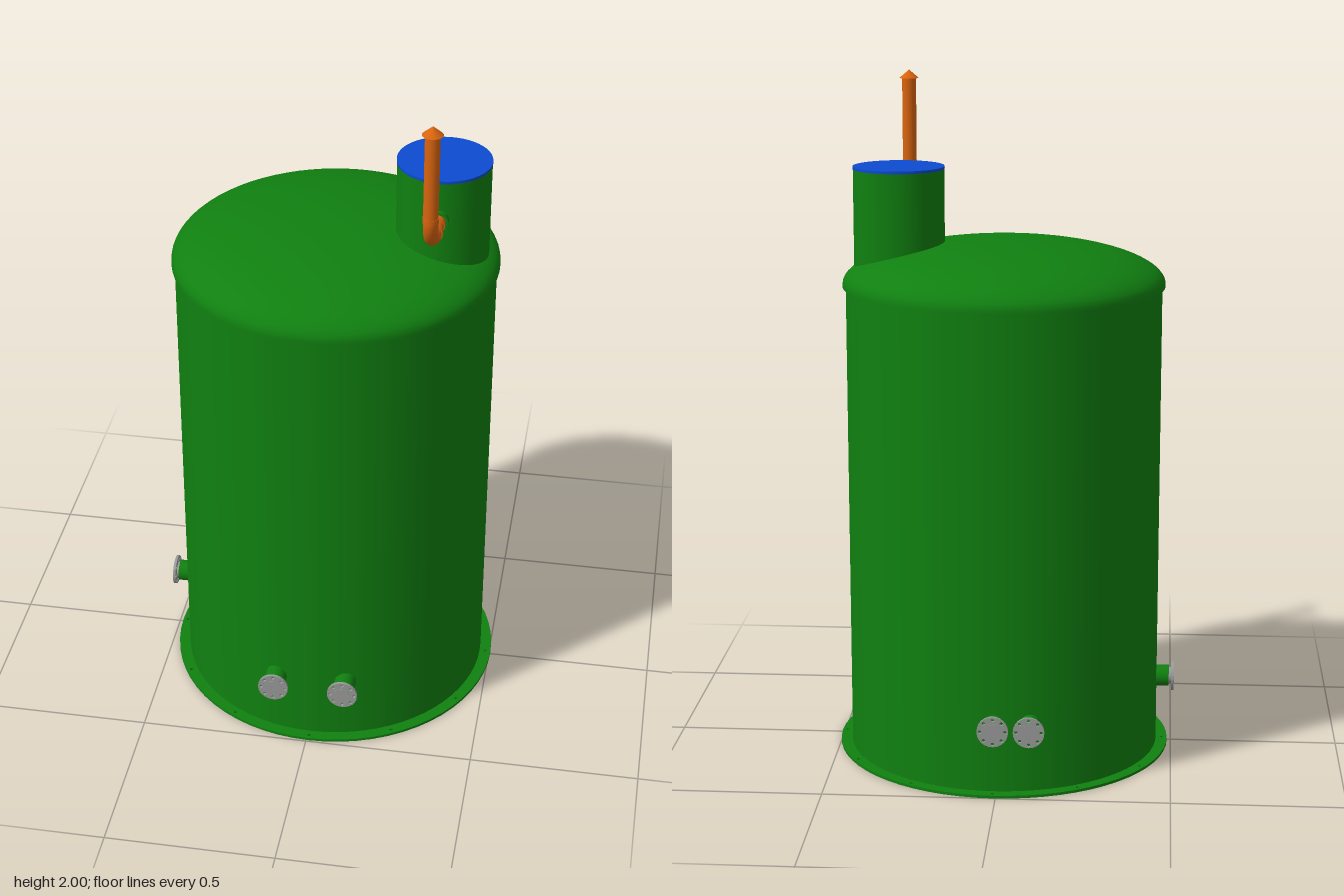
import * as THREE from 'three';

const material = (name, color) => {
  const m = new THREE.MeshStandardMaterial({ color });
  m.name = name;
  return m;
};

export function createModel() {
  const green = material('tank green', 0x108010);
  const blue = material('lid blue', 0x0d4bd0);
  const orange = material('vent orange', 0xd9640f);
  const steel = material('flange grey', 0x9a9a9a);

  const model = new THREE.Group();
  model.name = 'storageTank';

  const add = (parent, name, geometry, mat, x = 0, y = 0, z = 0) => {
    const mesh = new THREE.Mesh(geometry, mat);
    mesh.name = name;
    mesh.position.set(x, y, z);
    parent.add(mesh);
    return mesh;
  };
  const cylinder = (r, h, open = false, seg = 48) => new THREE.CylinderGeometry(r, r, h, seg, 1, open);

  // Disc with a ring of bolt holes, extruded along +z
  const drilledDisc = (radius, depth, count, ringRadius, holeRadius, segments) => {
    const shape = new THREE.Shape().absarc(0, 0, radius, 0, Math.PI * 2, false);
    for (let i = 0; i < count; i++) {
      const a = (i / count) * Math.PI * 2;
      shape.holes.push(new THREE.Path().absarc(
        ringRadius * Math.cos(a), ringRadius * Math.sin(a), holeRadius, 0, Math.PI * 2, true));
    }
    return new THREE.ExtrudeGeometry(shape, { depth, bevelEnabled: false, curveSegments: segments });
  };

  const tank = new THREE.Group();
  tank.name = 'tank';
  tank.position.set(0.008, 0, -0.002);
  model.add(tank);

  // Base plate with anchor bolt holes
  const base = add(tank, 'basePlate', drilledDisc(0.497, 0.008, 12, 0.482, 0.005, 32), green);
  base.rotation.x = -Math.PI / 2;

  // Straight shell
  add(tank, 'shell', cylinder(0.463, 1.398, true, 72), green, 0, 0.707, 0);

  // Elliptical roof with a short overhanging skirt
  const roof = [new THREE.Vector2(0.46, 1.402), new THREE.Vector2(0.472, 1.402)];
  for (let i = 0; i <= 20; i++) {
    const a = (i / 20) * Math.PI / 2;
    roof.push(new THREE.Vector2(Math.max(0, 0.472 * Math.cos(a)), 1.41 + 0.126 * Math.sin(a)));
  }
  add(tank, 'roofLip', new THREE.LatheGeometry(roof.slice(0, 2), 72), green);
  add(tank, 'roof', new THREE.LatheGeometry(roof.slice(1), 72), green);

  // Manway with its lid
  const mx = 0.315;
  add(model, 'manway', cylinder(0.133, 0.32), green, mx, 1.58, 0);
  add(model, 'manwayLid', cylinder(0.134, 0.008), blue, mx, 1.744, 0);

  // Vent: stub, bent pipe, joint rings and conical cap
  const vent = new THREE.Group();
  vent.name = 'vent';
  vent.position.x = mx;
  model.add(vent);
  const vy = 1.626, vz = 0.302, bend = 0.095;
  add(vent, 'ventStub', cylinder(0.031, 0.04, false, 24), green, 0, vy, 0.125).rotation.x = Math.PI / 2;
  const path = new THREE.CurvePath();
  const v = (y, z) => new THREE.Vector3(0, y, z);
  path.add(new THREE.LineCurve3(v(vy, 0.13), v(vy, vz - bend)));
  const k = bend * 0.448;
  path.add(new THREE.CubicBezierCurve3(v(vy, vz - bend), v(vy, vz - k), v(vy + k, vz), v(vy + bend, vz)));
  path.add(new THREE.LineCurve3(v(vy + bend, vz), v(1.978, vz)));
  add(vent, 'ventPipe', new THREE.TubeGeometry(path, 64, 0.021, 20), orange);
  for (const z of [0.155, 0.2]) {
    add(vent, 'ventJoint', cylinder(0.0235, 0.02, false, 20), orange, 0, vy, z).rotation.x = Math.PI / 2;
  }
  add(vent, 'ventJoint', cylinder(0.0225, 0.015, false, 20), orange, 0, vy + bend, vz);
  add(vent, 'ventCap', new THREE.ConeGeometry(0.029, 0.025, 24), orange, 0, 1.9875, vz);

  // Flanged nozzles, built pointing along +z
  const flangeGeometry = drilledDisc(0.045, 0.008, 8, 0.036, 0.005, 12);
  const nozzle = (name, x, z, turn) => {
    const g = new THREE.Group();
    g.name = name;
    g.position.set(x, 0.207, z);
    g.rotation.y = turn;
    model.add(g);
    // Reinforced sleeve, neck, flange and raised face
    add(g, 'nozzleSleeve', cylinder(0.032, 0.07, false, 24), green, 0, 0, -0.051).rotation.x = Math.PI / 2;
    add(g, 'nozzleNeck', cylinder(0.025, 0.03, false, 24), steel, 0, 0, -0.02).rotation.x = Math.PI / 2;
    add(g, 'nozzleFlange', flangeGeometry, steel, 0, 0, -0.009);
    add(g, 'nozzleFace', cylinder(0.024, 0.004, false, 24), steel, 0, 0, -0.002).rotation.x = Math.PI / 2;
  };
  nozzle('frontNozzle', -0.096, 0.513, 0);
  nozzle('frontNozzle', 0.112, 0.513, 0);
  nozzle('backNozzle', -0.096, -0.517, Math.PI);
  nozzle('backNozzle', 0.007, -0.517, Math.PI);
  nozzle('sideNozzle', -0.508, -0.002, -Math.PI / 2);

  return model;
}
